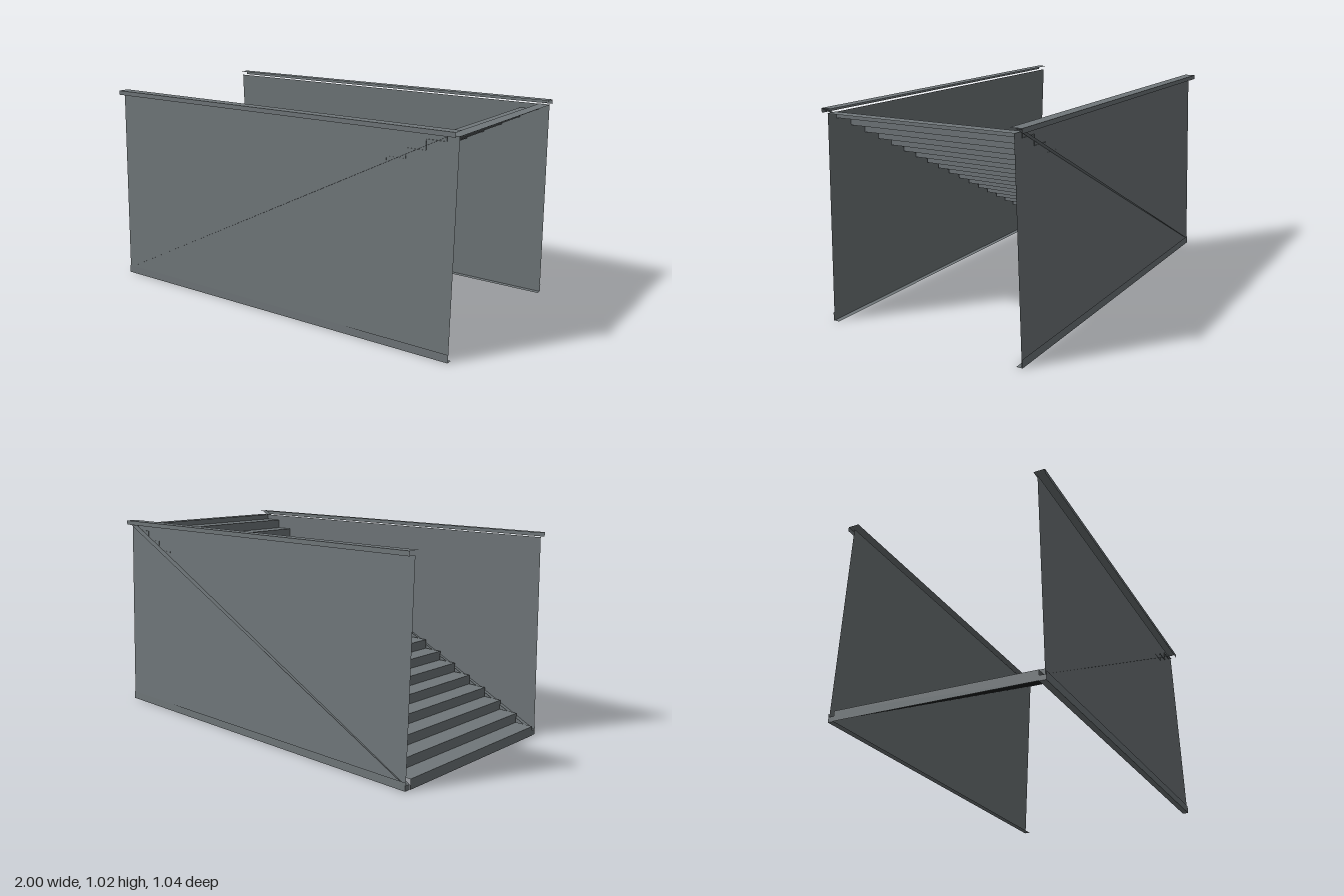
import * as THREE from 'three';

const steel = new THREE.MeshStandardMaterial({ color: 0x70777a, side: THREE.DoubleSide });
steel.name = 'grey steel';

// Sheet metal: sweeps an open polyline [[a, b], ...] between two ends, with flat facets.
// toPoint(a, b, t) places each profile point at end t (0 or 1).
function sheet(name, profile, toPoint) {
  const positions = [];
  for (let i = 0; i < profile.length - 1; i++) {
    const p = toPoint(...profile[i], 0), q = toPoint(...profile[i + 1], 0);
    const r = toPoint(...profile[i + 1], 1), s = toPoint(...profile[i], 1);
    positions.push(...p, ...q, ...r, ...p, ...r, ...s);
  }
  const geometry = new THREE.BufferGeometry();
  geometry.setAttribute('position', new THREE.Float32BufferAttribute(positions, 3));
  geometry.computeVertexNormals();
  const mesh = new THREE.Mesh(geometry, steel);
  mesh.name = name;
  return mesh;
}

export function createModel() {
  const group = new THREE.Group();
  group.name = 'staircase';

  // Folded treads and risers, climbing towards +x; the last step is cut short
  const run = 0.0972, rise = 0.0486, firstNose = -0.906;
  const steps = [[-1, 0], [-1, rise]];
  for (let i = 0; i < 20; i++) {
    const x = firstNose + i * run;
    steps.push([x, (i + 1) * rise], [x, Math.min((i + 2) * rise, 1)]);
  }
  steps.push([1, 1]);
  group.add(sheet('steps', steps, (x, y, t) => [x, y, t ? -0.49 : 0.49]));

  for (const side of [1, -1]) {
    const half = new THREE.Group();
    half.name = side > 0 ? 'frontSide' : 'backSide';
    // Profiles are [z, y], swept along x
    const alongX = (z, y, t) => [t ? 0.997 : -0.997, y, side * z];

    // Side wall leaning slightly inwards
    half.add(sheet('sidePanel', [[0.517, 0], [0.485, 1.0]], alongX));

    // Angle-shaped handrail and base rail
    half.add(sheet('topRail', [[0.465, 1.022], [0.521, 1.022], [0.521, 1.0]], alongX));
    half.add(sheet('baseRail', [[0.49, 0], [0.521, 0], [0.521, 0.04]], alongX));

    // Sloping stringer strip beside the steps
    half.add(sheet('stringer', [[-0.997, 0.025], [0.997, 1.02]],
      (x, y, t) => [x, y, side * (t ? 0.521 : 0.49)]));

    // Small plate closing the foot of the stringer
    half.add(sheet('footPlate', [[-0.997, 0], [-0.997, 0.025]],
      (x, y, t) => [x, y, side * (t ? 0.521 : 0.49)]));
    group.add(half);
  }
  return group;
}
